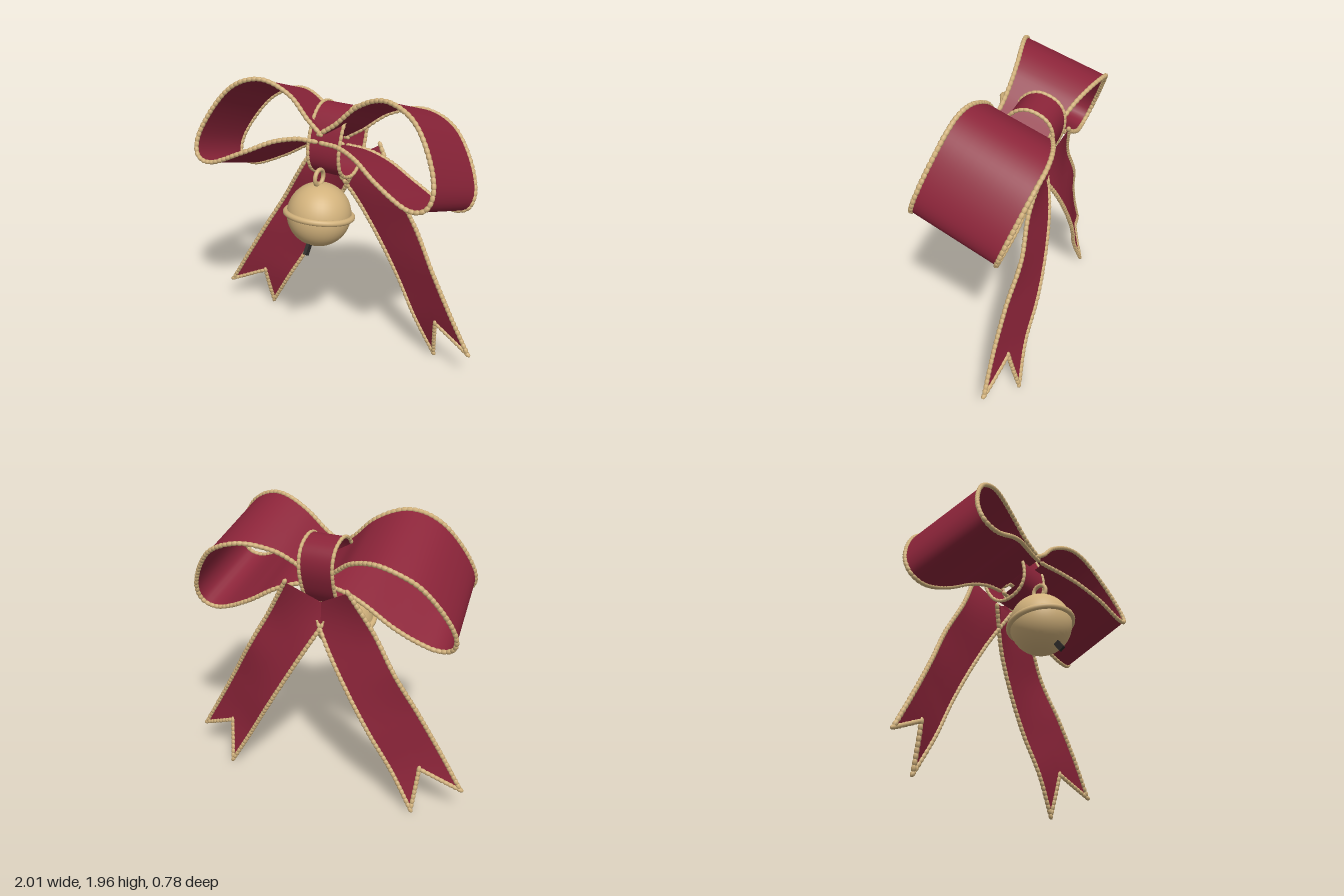
import * as THREE from 'three';
import { mergeGeometries } from 'three/addons/utils/BufferGeometryUtils.js';

const ribbonRed = new THREE.MeshStandardMaterial({ color: 0x8b2439, side: THREE.DoubleSide });
ribbonRed.name = 'ribbon red';
const gold = new THREE.MeshStandardMaterial({ color: 0xd2b27c });
gold.name = 'pale gold';
const dark = new THREE.MeshStandardMaterial({ color: 0x2c2a28 });
dark.name = 'dark slot';

const V = (x, y, z) => new THREE.Vector3(x, y, z);
const curve = (pts) => new THREE.CatmullRomCurve3(pts);

function add(parent, name, geometry, material) {
  const mesh = new THREE.Mesh(geometry, material);
  mesh.name = name;
  parent.add(mesh);
  return mesh;
}

// Smooth sheet from a rule f(u, v), both in 0..1
function sheet(f, nu, nv) {
  const pos = [], idx = [];
  for (let i = 0; i <= nu; i++) {
    for (let j = 0; j <= nv; j++) {
      pos.push(...f(i / nu, j / nv).toArray());
      if (i < nu && j < nv) {
        const a = i * (nv + 1) + j, b = a + nv + 1;
        idx.push(a, b, a + 1, b, b + 1, a + 1);
      }
    }
  }
  const g = new THREE.BufferGeometry();
  g.setAttribute('position', new THREE.Float32BufferAttribute(pos, 3));
  g.setIndex(idx);
  g.computeVertexNormals();
  return g;
}

// Cord of overlapping elongated beads along a polyline
function cord(points, radius = 0.016, spacing = 0.034) {
  const path = new THREE.CurvePath();
  for (let i = 1; i < points.length; i++) path.add(new THREE.LineCurve3(points[i - 1], points[i]));
  const n = Math.round(path.getLength() / spacing);
  const beads = [];
  for (let i = 0; i <= n; i++) {
    const t = Math.min(i / n, 0.9999);
    const q = new THREE.Quaternion().setFromUnitVectors(V(0, 1, 0), path.getTangent(t).normalize());
    const m = new THREE.Matrix4().compose(path.getPoint(t), q, V(radius, 0.026, radius));
    beads.push(new THREE.SphereGeometry(1, 8, 6).applyMatrix4(m));
  }
  return mergeGeometries(beads);
}

const sample = (f, n) => Array.from({ length: n + 1 }, (_, i) => f(i / n));

// Tilted frame of the bow: u runs up, v runs to the front
const TILT = 0.35, C = Math.cos(TILT), S = Math.sin(TILT);
const tilted = (x, u, v, y0, z0) => V(x, y0 + u * C + v * S, z0 - u * S + v * C);

// Outline of one bow loop
const loopCurve = curve([
  [0, 0], [0.1, 0.07], [0.25, 0.2], [0.45, 0.262], [0.65, 0.19], [0.8, 0], [0.872, -0.2],
  [0.845, -0.295], [0.75, -0.322], [0.5, -0.215], [0.3, -0.105], [0.15, -0.06], [0.03, -0.055],
].map(([x, u]) => V(x, u, 0)));

function loopPoint(side, t, w) {
  const p = loopCurve.getPointAt(t);
  const half = 0.18 + 0.108 * THREE.MathUtils.smoothstep(p.x, 0, 0.6);
  const v = 2 * w - 1;
  return tilted(side * p.x * (1 - 0.03 * v), p.y, v * half, 1.6, -0.02);
}

// Depth of the tail edges from the knot to the tip
const outerZ = curve([[0, -0.25], [0.23, -0.2], [0.46, -0.208], [0.69, -0.165], [0.84, -0.14], [1, -0.13]].map(([t, z]) => V(t, z, 0)));
const innerZ = curve([[0, -0.15], [0.2, -0.23], [0.4, -0.262], [0.6, -0.265], [0.8, -0.24], [1, -0.255]].map(([t, z]) => V(t, z, 0)));

// q runs from -1 (inner edge) to 1 (outer edge)
function tailPoint(side, t, q) {
  const x = 0.07 + 0.765 * t + q * 0.147;
  const y = 1.415 - 1.312 * t + q * 0.086;
  const z = THREE.MathUtils.lerp(innerZ.getPoint(t).y, outerZ.getPoint(t).y, (q + 1) / 2);
  return V(side * x, y, z);
}
const tailEnd = (q) => 1 - 0.162 * (1 - Math.abs(q));

// Rounded band around the middle
function knotPoint(t, w) {
  const a = t * Math.PI * 2, c = Math.cos(a), s = Math.sin(a);
  const soft = (k) => Math.sign(k) * Math.abs(k) ** 0.85;
  return tilted((w - 0.5) * 0.225, 0.23 * soft(c), 0.168 * soft(s), 1.56, -0.07);
}

export function createModel() {
  const model = new THREE.Group();
  model.name = 'ribbonBowWithBell';

  for (const [side, label] of [[1, 'left'], [-1, 'right']]) {
    // Bow loop with trimmed edges
    const loop = new THREE.Group();
    loop.name = label + 'Loop';
    add(loop, label + 'LoopRibbon', sheet((t, w) => loopPoint(side, t, w), 80, 8), ribbonRed);
    add(loop, label + 'LoopFrontTrim', cord(sample((t) => loopPoint(side, t, 1), 80)), gold);
    add(loop, label + 'LoopBackTrim', cord(sample((t) => loopPoint(side, t, 0), 80)), gold);
    model.add(loop);

    // Hanging tail with a notched end
    const tail = new THREE.Group();
    tail.name = label + 'Tail';
    add(tail, label + 'TailRibbon', sheet((t, w) => tailPoint(side, t * tailEnd(2 * w - 1), 2 * w - 1), 40, 10), ribbonRed);
    const border = [
      ...sample((t) => tailPoint(side, t, 1), 30),
      ...sample((t) => tailPoint(side, tailEnd(1 - 2 * t), 1 - 2 * t), 10).slice(1),
      ...sample((t) => tailPoint(side, 1 - t, -1), 30).slice(1),
    ];
    add(tail, label + 'TailTrim', cord(border), gold);
    model.add(tail);
  }

  // Knot
  const knot = new THREE.Group();
  knot.name = 'knot';
  add(knot, 'knotBand', sheet(knotPoint, 64, 4), ribbonRed);
  for (const w of [0, 1]) add(knot, w ? 'knotLeftTrim' : 'knotRightTrim', cord(sample((t) => knotPoint(t, w), 64), 0.013), gold);
  model.add(knot);

  // Bell, leaning slightly back
  const bell = new THREE.Group();
  bell.name = 'bell';
  bell.position.set(0, 1.12, 0.165);
  bell.rotation.x = -0.2;
  add(bell, 'bellBody', new THREE.SphereGeometry(0.21, 40, 28), gold);
  add(bell, 'bellRim', new THREE.TorusGeometry(0.215, 0.02, 12, 56).rotateX(Math.PI / 2), gold);
  const ring = add(bell, 'bellRing', new THREE.TorusGeometry(0.05, 0.014, 10, 28).rotateY(Math.PI / 2), gold);
  ring.position.set(0, 0.25, 0.045);
  const slot = add(bell, 'bellSlot', new THREE.BoxGeometry(0.022, 0.13, 0.04).translate(0, -0.215, 0), dark);
  slot.rotation.x = -0.44;
  model.add(bell);

  return model;
}
